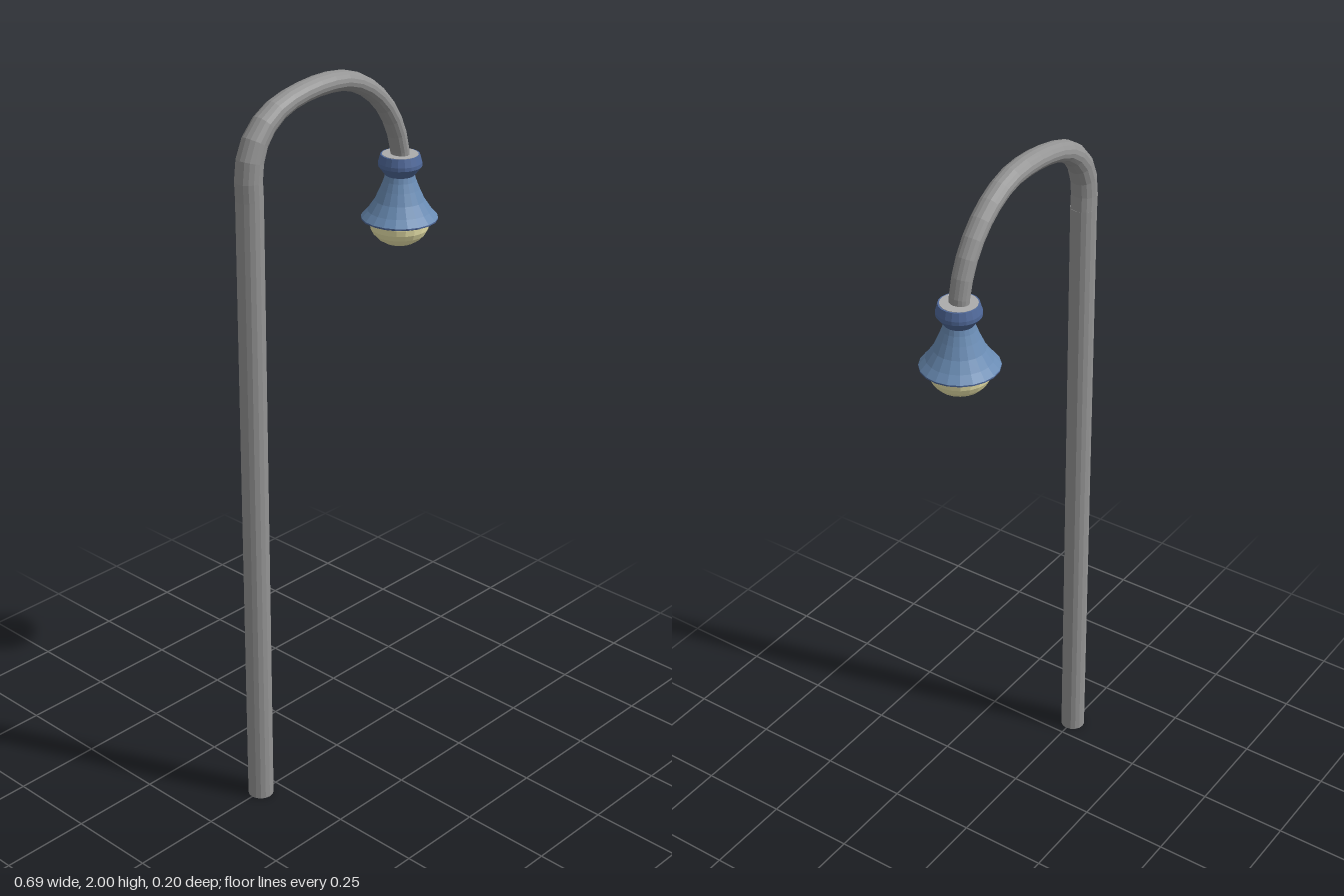
import * as THREE from 'three';

const LAMP_X = 0.24;
const POLE_X = -0.308;

const paint = (color) => new THREE.MeshStandardMaterial({ color, flatShading: true });

function addMesh(group, name, geometry, material, x = 0, y = 0) {
  const mesh = new THREE.Mesh(geometry, material);
  mesh.name = name;
  mesh.position.set(x, y, 0);
  group.add(mesh);
  return mesh;
}

// Lathe from [radius, height] pairs listed bottom to top
const turned = (profile, sides = 20) =>
  new THREE.LatheGeometry(profile.map(([r, y]) => new THREE.Vector2(r, y)), sides);

// Curved arm: a tube whose rings shrink from the pole to the lamp
function taperedArm() {
  const path = new THREE.CatmullRomCurve3([
    [POLE_X, 1.74], [POLE_X, 1.82], [-0.28, 1.89], [-0.22, 1.94], [-0.143, 1.964],
    [-0.042, 1.973], [0.036, 1.964], [0.11, 1.93], [0.175, 1.872],
    [0.219, 1.8], [0.24, 1.724], [0.243, 1.69],
  ].map(([x, y]) => new THREE.Vector3(x, y, 0)));
  const rings = 18, sides = 16, radius = 0.035;
  const geometry = new THREE.TubeGeometry(path, rings, radius, sides);
  const pos = geometry.attributes.position;
  const p = new THREE.Vector3();
  for (let i = 0; i <= rings; i++) {
    const t = i / rings;
    const centre = path.getPointAt(t);
    const slim = THREE.MathUtils.smoothstep(t, 0.08, 0.38);
    const late = Math.max(0, t - 0.5) * 2;
    const inPlane = 1 - 0.24 * slim - 0.13 * late;
    const across = 1 - 0.13 * slim - 0.1 * late;
    for (let j = 0; j <= sides; j++) {
      const k = i * (sides + 1) + j;
      p.fromBufferAttribute(pos, k).sub(centre);
      p.set(p.x * inPlane, p.y * inPlane, p.z * across).add(centre);
      pos.setXYZ(k, p.x, p.y, p.z);
    }
  }
  return geometry;
}

export function createModel() {
  const model = new THREE.Group();
  model.name = 'streetLamp';
  const darkGrey = paint(0x949494);
  const paleGrey = paint(0xacacac);
  const blue = paint(0x6a8cb4);
  const darkBlue = paint(0x50699a);
  const cream = paint(0xeee8ae);

  // Post and arm
  addMesh(model, 'pole', new THREE.CylinderGeometry(0.035, 0.035, 1.75, 16), darkGrey, POLE_X, 0.875);
  addMesh(model, 'arm', taperedArm(), darkGrey);

  // Lamp head
  const lamp = new THREE.Group();
  lamp.name = 'lampHead';
  lamp.position.x = LAMP_X;
  model.add(lamp);

  addMesh(lamp, 'collar', turned([
    [0.038, 1.668], [0.058, 1.694], [0.058, 1.704], [0.052, 1.725], [0.047, 1.725],
  ]), darkBlue);
  addMesh(lamp, 'collarTop', new THREE.CylinderGeometry(0.048, 0.048, 0.01, 20), paleGrey, 0, 1.721);

  addMesh(lamp, 'shade', turned([
    [0.102, 1.554], [0.085, 1.573], [0.066, 1.601], [0.052, 1.632], [0.043, 1.655], [0.038, 1.674],
  ]), blue);
  addMesh(lamp, 'shadeRim', turned([
    [0.0, 1.55], [0.078, 1.546], [0.094, 1.546], [0.102, 1.55], [0.102, 1.554],
  ]), darkBlue);

  // Bulb: a squashed lower half sphere
  const bulb = addMesh(lamp, 'bulb',
    new THREE.SphereGeometry(0.08, 20, 8, 0, Math.PI * 2, Math.PI / 3, Math.PI * 2 / 3), cream, 0, 1.54);
  bulb.scale.y = 0.8;

  return model;
}
